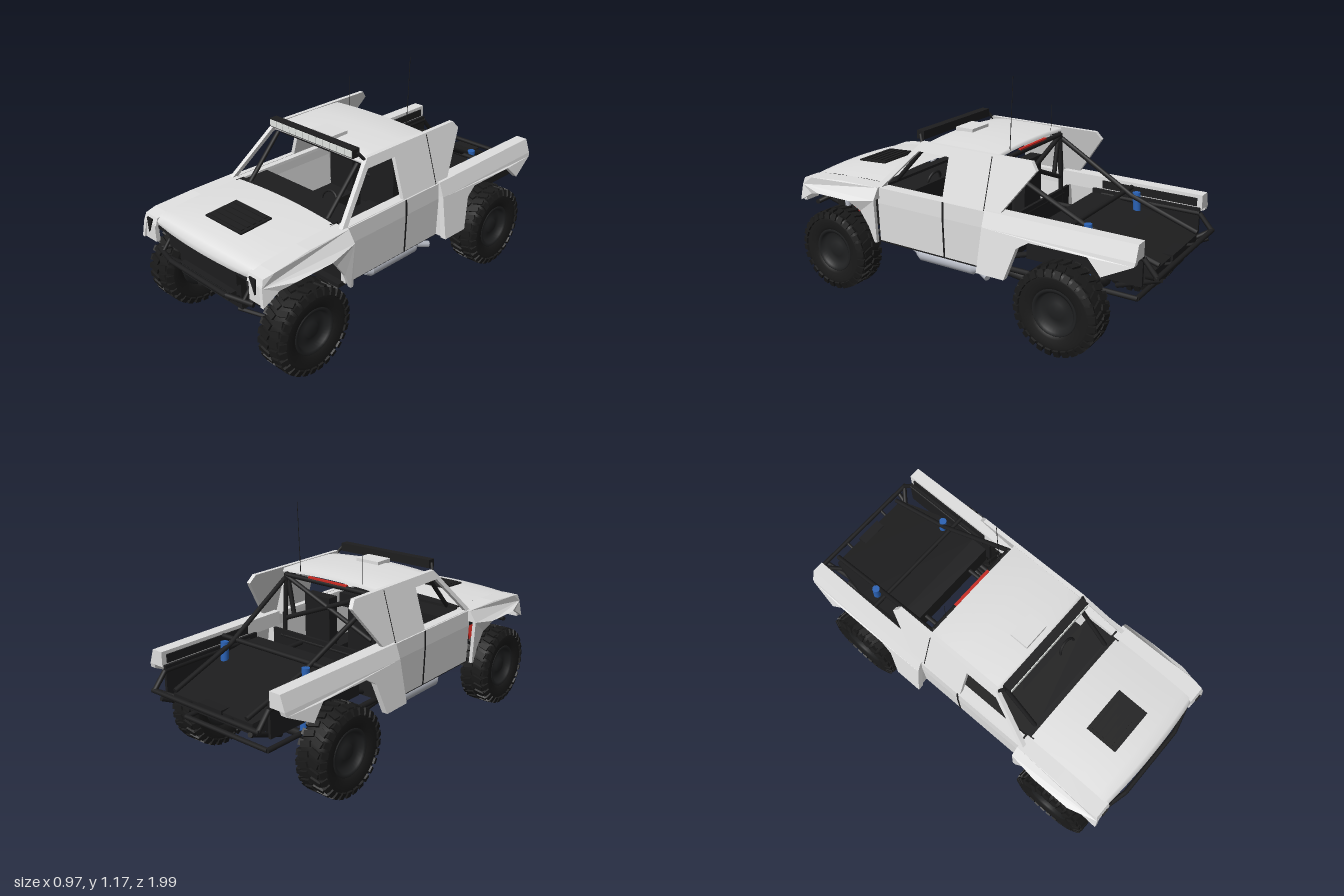
import * as THREE from 'three';
import { mergeGeometries } from 'three/addons/utils/BufferGeometryUtils.js';

const V = (p) => new THREE.Vector3(...p);

function makeMat(name, color, side = THREE.FrontSide) {
  const m = new THREE.MeshStandardMaterial({ color, side });
  m.name = name;
  return m;
}

// reverses the corner order of every triangle
function flip(geo) {
  const g = geo.index ? geo.toNonIndexed() : geo;
  for (const a of Object.values(g.attributes)) {
    for (let i = 0; i < a.count; i += 3) {
      for (let k = 0; k < a.itemSize; k++) {
        const t = a.getComponent(i + 1, k);
        a.setComponent(i + 1, k, a.getComponent(i + 2, k));
        a.setComponent(i + 2, k, t);
      }
    }
  }
  return g;
}
const mirrored = (geo) => flip(geo.clone().scale(-1, 1, 1));

// side outline of [z, y] points (and an optional hole), spanned between an inner and an outer x rule
function sidePanel(points, outer, inner, hole) {
  const shape = new THREE.Shape(points.map(([z, y]) => new THREE.Vector2(z, y)));
  if (hole) shape.holes.push(new THREE.Path(hole.map(([z, y]) => new THREE.Vector2(z, y))));
  const g = new THREE.ExtrudeGeometry(shape, { depth: 1, bevelEnabled: false });
  const p = g.attributes.position;
  for (let i = 0; i < p.count; i++) {
    const z = p.getX(i), y = p.getY(i);
    p.setXYZ(i, p.getZ(i) > 0.5 ? outer(y, z) : inner(y, z), y, z);
  }
  flip(g).computeVertexNormals();
  return g;
}

// flat front-facing plate from [x, y] points
function plate(points, z, depth) {
  const shape = new THREE.Shape(points.map((p) => new THREE.Vector2(...p)));
  return new THREE.ExtrudeGeometry(shape, { depth, bevelEnabled: false }).translate(0, 0, z);
}

// smooth sheet following [z, y, crown] rows from back to front
function crownedSheet(profile, halfWidth, sweep) {
  const n = 12, pos = [], idx = [];
  profile.forEach(([z, y, crown], j) => {
    for (let i = 0; i <= n; i++) {
      const u = (i / n) * 2 - 1;
      pos.push(u * halfWidth, y - crown * u * u, z - sweep * u * u * (j / (profile.length - 1)));
      if (i < n && j < profile.length - 1) {
        const a = j * (n + 1) + i, b = a + n + 1;
        idx.push(a, b, a + 1, a + 1, b, b + 1);
      }
    }
  });
  const g = new THREE.BufferGeometry();
  g.setAttribute('position', new THREE.Float32BufferAttribute(pos, 3));
  g.setIndex(idx);
  g.computeVertexNormals();
  return g;
}

function box(x0, x1, y0, y1, z0, z1) {
  return new THREE.BoxGeometry(x1 - x0, y1 - y0, z1 - z0)
    .translate((x0 + x1) / 2, (y0 + y1) / 2, (z0 + z1) / 2);
}

function bar(a, b, r = 0.012, r2 = r, sides = 10) {
  const A = V(a), B = V(b), d = B.clone().sub(A);
  const g = new THREE.CylinderGeometry(r2, r, d.length(), sides);
  g.applyQuaternion(new THREE.Quaternion().setFromUnitVectors(V([0, 1, 0]), d.normalize()));
  return g.translate((A.x + B.x) / 2, (A.y + B.y) / 2, (A.z + B.z) / 2);
}

export function createModel() {
  const body = makeMat('body white', 0xe0e0e0, THREE.DoubleSide);
  const black = makeMat('frame black', 0x1d1d1e, THREE.DoubleSide);
  const rubber = makeMat('tyre rubber', 0x1a1a1a);
  const rim = makeMat('rim dark grey', 0x202122);
  const red = makeMat('shock red', 0xc92a22);
  const blue = makeMat('shock blue', 0x2a62b5);
  const silver = makeMat('exhaust silver', 0xb8bcc6);
  const lens = makeMat('lamp lens', 0xe2e6e2);

  const model = new THREE.Group();
  const add = (name, geo, mat) => {
    const m = new THREE.Mesh(geo, mat);
    m.name = name;
    model.add(m);
  };
  const pair = (name, geo, mat) => {
    add(name + 'Left', geo, mat);
    add(name + 'Right', mirrored(geo), mat);
  };

  // hood and roof
  add('hood', crownedSheet([[0.48, 0.605, 0.018], [0.6, 0.604, 0.018], [0.78, 0.596, 0.018], [0.9, 0.583, 0.016],
    [0.95, 0.568, 0.012], [0.972, 0.545, 0.006], [0.967, 0.513, 0]], 0.335, 0.02), body);
  const vent = [box(-0.125, 0.125, -0.004, 0.004, -0.087, 0.088)];
  for (let i = 0; i < 5; i++) vent.push(box(-0.11, 0.11, 0.004, 0.009, -0.076 + i * 0.033, -0.058 + i * 0.033));
  add('hoodVent', mergeGeometries(vent).rotateX(0.06).translate(0, 0.6, 0.742), black);
  add('roof', crownedSheet([[-0.17, 0.815], [-0.165, 0.834], [0, 0.838], [0.18, 0.836], [0.245, 0.827],
    [0.268, 0.812], [0.262, 0.798]].map((p) => [...p, 0.014]), 0.318, 0.015), body);
  add('roofHatch', box(-0.07, 0.07, 0.83, 0.852, 0.125, 0.225), body);

  // cab sides with open windows and rear sails
  const cabX = (y) => 0.395 - (y - 0.57) * 0.3;
  pair('cabSide', sidePanel(
    [[0.49, 0.575], [0.25, 0.828], [-0.365, 0.828], [-0.395, 0.79], [-0.235, 0.57]],
    cabX, (y) => cabX(y) - 0.022,
    [[0.45, 0.582], [0.26, 0.782], [0.08, 0.782], [0.08, 0.582]]), body);
  pair('cabCorner', plate([[0.3, 0.58], [0.385, 0.58], [0.315, 0.82], [0.3, 0.82]], -0.155, 0.01), body);
  pair('cabSeam', sidePanel([[-0.155, 0.58], [-0.159, 0.58], [-0.159, 0.82], [-0.155, 0.82]],
    (y) => cabX(y) + 0.001, (y) => cabX(y) - 0.002), black);
  const doorX = (y) => 0.402 - Math.abs(y - 0.5) * 0.04;
  for (const [y0, y1] of [[0.3, 0.5], [0.5, 0.58]]) {
    pair('door', sidePanel([[0.468, y0], [0.468, y1], [-0.18, y1], [-0.18, y0]],
      doorX, (y) => doorX(y) - 0.03), body);
    pair('doorSeam', sidePanel([[0.074, y0], [0.074, y1], [0.066, y1], [0.066, y0]],
      (y) => doorX(y) + 0.003, (y) => doorX(y) - 0.002), black);
  }
  pair('doorLedge', box(0.338, 0.38, 0.565, 0.58, -0.15, 0.45), body);

  // front fenders, flared over the wheel and tucked in at the nose
  const fenderX = (y, z) => {
    if (z > 0.94) return Math.min(0.41 + (0.58 - y) * 0.16, 0.434);
    return y >= 0.5 ? 0.41 + (0.58 - y) * 0.65 : Math.max(0.434, 0.462 - (0.5 - y) * 1.2);
  };
  pair('fenderTop', sidePanel([[0.46, 0.525], [0.46, 0.582], [0.7, 0.578], [0.9, 0.562], [0.955, 0.552], [0.967, 0.515]],
    fenderX, () => 0.325), body);
  pair('fenderSide', sidePanel([[0.46, 0.525], [0.967, 0.515], [0.975, 0.43], [0.89, 0.48], [0.82, 0.5],
    [0.61, 0.5], [0.56, 0.45], [0.51, 0.38], [0.475, 0.3], [0.46, 0.3]], fenderX, (y, z) => fenderX(y, z) - 0.018), body);
  pair('fenderNose', box(0.335, 0.42, 0.43, 0.52, 0.945, 0.966), body);
  pair('headlamp', plate([[0.345, 0.545], [0.385, 0.545], [0.378, 0.47]], 0.965, 0.008), black);

  // nose, engine bay and skid plate
  add('grille', box(-0.325, 0.325, 0.5, 0.515, 0.86, 0.955), black);
  add('grillePanel', box(-0.24, 0.24, 0.445, 0.51, 0.9, 0.955), black);
  add('engineBay', box(-0.22, 0.22, 0.3, 0.525, 0.46, 0.92), black);
  pair('shockTower', box(0.22, 0.285, 0.42, 0.5, 0.66, 0.76), black);
  add('skidPlate', sidePanel([[0.5, 0.27], [0.5, 0.38], [0.95, 0.38], [0.88, 0.27]], () => 0.185, () => -0.185), black);
  add('skidSlot', box(-0.17, 0.17, 0.335, 0.375, 0.945, 0.953), rim);

  // front bumper tubes
  add('bumperTube', mergeGeometries([bar([-0.2, 0.395, 0.985], [0.2, 0.395, 0.985]),
    bar([-0.34, 0.395, 0.95], [-0.2, 0.395, 0.985]), bar([0.2, 0.395, 0.985], [0.34, 0.395, 0.95])]), black);
  pair('bumperStay', mergeGeometries([
    bar([0.33, 0.395, 0.95], [0.22, 0.44, 0.88]), bar([0.24, 0.395, 0.975], [0.17, 0.32, 0.88]),
    bar([0.29, 0.395, 0.965], [0.29, 0.45, 0.92], 0.009)]), black);

  // cabin tub, dashboard and seats
  add('cabinFloor', box(-0.38, 0.38, 0.285, 0.305, -0.19, 0.5), black);
  add('firewall', box(-0.38, 0.38, 0.3, 0.57, 0.45, 0.465), black);
  add('dashboard', box(-0.33, 0.33, 0.5, 0.575, 0.3, 0.485), black);
  add('cowl', box(-0.33, 0.33, 0.565, 0.588, 0.45, 0.497), black);
  add('steeringWheel', new THREE.TorusGeometry(0.05, 0.007, 8, 20).rotateX(-0.3).translate(0.14, 0.575, 0.32), black);
  add('cabinBackWall', box(-0.36, 0.36, 0.3, 0.5, -0.19, -0.175), black);
  pair('seat', mergeGeometries([box(0.06, 0.22, 0.3, 0.69, -0.1, -0.04), box(0.06, 0.22, 0.3, 0.42, -0.04, 0.14)]), black);
  add('brakeLight', box(-0.12, 0.12, 0.795, 0.812, -0.187, -0.172), red);

  // roll cage
  pair('rollCage', mergeGeometries([
    bar([0.27, 0.79, 0.265], [0.27, 0.57, 0.468], 0.011), bar([0.27, 0.797, 0.25], [0.27, 0.797, -0.18]),
    bar([0.27, 0.8, -0.18], [0.3, 0.3, -0.18]), bar([0.27, 0.79, -0.17], [0.23, 0.58, -0.17]),
    bar([0.28, 0.775, -0.18], [0.24, 0.555, -0.6]), bar([0.24, 0.555, -0.6], [0.225, 0.44, -0.95]),
    bar([0.17, 0.46, -0.18], [0.17, 0.46, -0.38]), bar([0.31, 0.81, 0.25], [0.285, 0.852, 0.28], 0.008)]), black);
  add('cageCross', mergeGeometries([
    bar([-0.27, 0.79, -0.18], [0.27, 0.57, -0.18]), bar([0.27, 0.79, -0.18], [-0.27, 0.57, -0.18]),
    bar([-0.27, 0.795, -0.18], [0.27, 0.795, -0.18]), bar([-0.27, 0.79, 0.24], [0.27, 0.79, 0.24]),
    bar([-0.31, 0.47, -0.18], [0.31, 0.47, -0.18]), bar([-0.33, 0.565, -0.56], [0.33, 0.565, -0.56])]), black);

  // bed sides: leaning out towards the bottom of the front leg
  const bedX = (y, z) => (y > 0.515 ? 0.405 + (0.587 - y) * 0.35 : 0.43 + (0.515 - y) * 0.16) + Math.min(0, z + 0.8) * 0.08;
  pair('bedShoulder', sidePanel([[-0.17, 0.515], [-0.17, 0.587], [-0.925, 0.587], [-0.925, 0.515]],
    bedX, () => 0.335), body);
  pair('bedFlank', sidePanel([[-0.17, 0.515], [-0.925, 0.515], [-0.92, 0.495], [-0.78, 0.425], [-0.71, 0.495],
    [-0.42, 0.495], [-0.36, 0.455], [-0.31, 0.3], [-0.16, 0.3]], bedX, (y, z) => bedX(y, z) - 0.03), body);
  pair('bedLegFront', plate([[0.38, 0.3], [0.462, 0.3], [0.43, 0.515], [0.38, 0.515]], -0.178, 0.008), body);
  pair('bedInnerStrip', box(0.328, 0.335, 0.53, 0.57, -0.9, -0.4), black);
  pair('wheelLiner', box(0.318, 0.332, 0.37, 0.525, -0.92, -0.35), black);

  // bed tray and tail frame
  const trayX = (y, z) => (z < -0.7 ? 0.3 + (z + 0.7) * 0.22 : 0.3);
  for (const pts of [
    [[-0.36, 0.38], [-0.36, 0.51], [-0.45, 0.51], [-0.7, 0.47], [-0.7, 0.37]],
    [[-0.7, 0.37], [-0.7, 0.47], [-0.94, 0.42], [-0.94, 0.37]]]) {
    add('bedTray', sidePanel(pts, trayX, (y, z) => -trayX(y, z)), black);
  }
  add('tailBox', box(-0.07, 0.07, 0.39, 0.43, -0.95, -0.9), black);
  pair('tailFrame', mergeGeometries([
    bar([0.325, 0.5, -0.4], [0.325, 0.5, -0.92]), bar([0.325, 0.5, -0.92], [0.325, 0.425, -0.985]),
    bar([0.325, 0.425, -0.985], [0.24, 0.38, -0.9]), bar([0.23, 0.3, -0.76], [0.28, 0.4, -0.985]),
    bar([0.13, 0.425, -0.985], [0.13, 0.4, -0.92], 0.008), bar([0.26, 0.275, -0.57], [0.26, 0.275, -0.875])]), black);
  add('tailTube', mergeGeometries([bar([-0.335, 0.425, -0.985], [0.335, 0.425, -0.985]),
    bar([-0.26, 0.275, -0.87], [0.26, 0.275, -0.87])]), black);

  // chassis rails and suspension
  pair('chassisRail', mergeGeometries([bar([0.29, 0.275, 0.5], [0.29, 0.275, -0.4], 0.014),
    bar([0.22, 0.3, -0.18], [0.22, 0.38, -0.42], 0.014), bar([0.27, 0.26, -0.1], [0.28, 0.21, -0.57], 0.018)]), black);
  pair('frontArms', mergeGeometries([bar([0.14, 0.28, 0.82], [0.34, 0.19, 0.73]), bar([0.14, 0.28, 0.6], [0.34, 0.19, 0.73]),
    bar([0.16, 0.38, 0.78], [0.34, 0.28, 0.73]), bar([0.14, 0.25, 0.88], [0.34, 0.22, 0.78], 0.009)]), black);
  pair('frontShock', bar([0.272, 0.265, 0.75], [0.258, 0.422, 0.72], 0.022, 0.022, 16), red);
  pair('frontShockRod', bar([0.285, 0.205, 0.76], [0.272, 0.27, 0.75], 0.017, 0.017, 12), silver);
  pair('shockReservoir', bar([0.36, 0.43, 0.71], [0.36, 0.5, 0.71], 0.016, 0.016, 12), silver);
  pair('rearShock', bar([0.255, 0.26, -0.64], [0.255, 0.57, -0.62], 0.019, 0.019, 14), blue);
  pair('rearSpring', bar([0.25, 0.29, -0.5], [0.245, 0.38, -0.48], 0.015, 0.015, 14), red);
  add('rearAxle', bar([-0.34, 0.21, -0.57], [0.34, 0.21, -0.57], 0.02, 0.02, 14), black);
  add('differential', new THREE.SphereGeometry(0.056, 8, 6).translate(0, 0.21, -0.57), black);

  // exhausts
  pair('exhaust', mergeGeometries([
    bar([0.33, 0.255, 0.25], [0.33, 0.255, -0.06], 0.036, 0.036, 20), bar([0.33, 0.255, 0.28], [0.33, 0.255, 0.25], 0.018, 0.036, 20),
    bar([0.33, 0.255, -0.06], [0.33, 0.255, -0.09], 0.036, 0.018, 20), bar([0.33, 0.255, -0.08], [0.36, 0.235, -0.155], 0.017),
    bar([0.33, 0.255, 0.27], [0.25, 0.275, 0.46], 0.015)]), silver);

  // light bar and aerials
  add('lightBar', box(-0.282, 0.282, 0.828, 0.87, 0.262, 0.305), black);
  const cells = [];
  for (let i = 0; i < 12; i++) cells.push(box(-0.276 + i * 0.0462, -0.233 + i * 0.0462, 0.833, 0.865, 0.304, 0.309));
  add('lightBarLenses', mergeGeometries(cells), lens);
  add('aerialTall', bar([0.185, 0.78, -0.165], [0.185, 1.17, -0.182], 0.002, 0.0015, 6), black);
  add('aerialShort', bar([-0.2, 0.78, -0.165], [-0.2, 0.985, -0.165], 0.0015, 0.001, 6), black);

  // wheels: lathed tyre, staggered tread blocks and dished rim
  const tyreProfile = [[0.11, -0.06], [0.125, -0.07], [0.165, -0.075], [0.19, -0.068], [0.2, -0.05],
    [0.2, 0.05], [0.19, 0.068], [0.165, 0.075], [0.125, 0.07], [0.11, 0.06]];
  const tyre = new THREE.LatheGeometry(tyreProfile.map((p) => new THREE.Vector2(...p)), 48).rotateZ(-Math.PI / 2);
  const blocks = [];
  for (let i = 0; i < 28; i++) {
    for (const s of [-1, 1]) {
      const turn = ((i + (s > 0 ? 0.5 : 0)) / 28) * Math.PI * 2;
      blocks.push(new THREE.BoxGeometry(0.052, 0.016, 0.026).rotateY(s * 0.3).translate(s * 0.03, 0.202, 0).rotateX(turn));
      blocks.push(new THREE.BoxGeometry(0.022, 0.034, 0.028).rotateZ(s * 0.35).translate(s * 0.065, 0.188, 0).rotateX(turn));
    }
  }
  const tread = mergeGeometries(blocks);
  const rimProfile = [[0.0001, 0.05], [0.035, 0.05], [0.04, 0.04], [0.085, 0.035], [0.095, 0.06], [0.108, 0.066],
    [0.115, 0.06], [0.115, -0.06], [0.09, -0.05], [0.0001, -0.05]].reverse();
  const hub = new THREE.LatheGeometry(rimProfile.map((p) => new THREE.Vector2(...p)), 36).rotateZ(-Math.PI / 2);
  for (const [name, z] of [['front', 0.728], ['rear', -0.573]]) {
    pair(name + 'Tyre', tyre.clone().translate(0.402, 0.21, z), rubber);
    pair(name + 'Tread', tread.clone().translate(0.402, 0.21, z), rubber);
    pair(name + 'Rim', hub.clone().translate(0.402, 0.21, z), rim);
  }
  return model;
}
